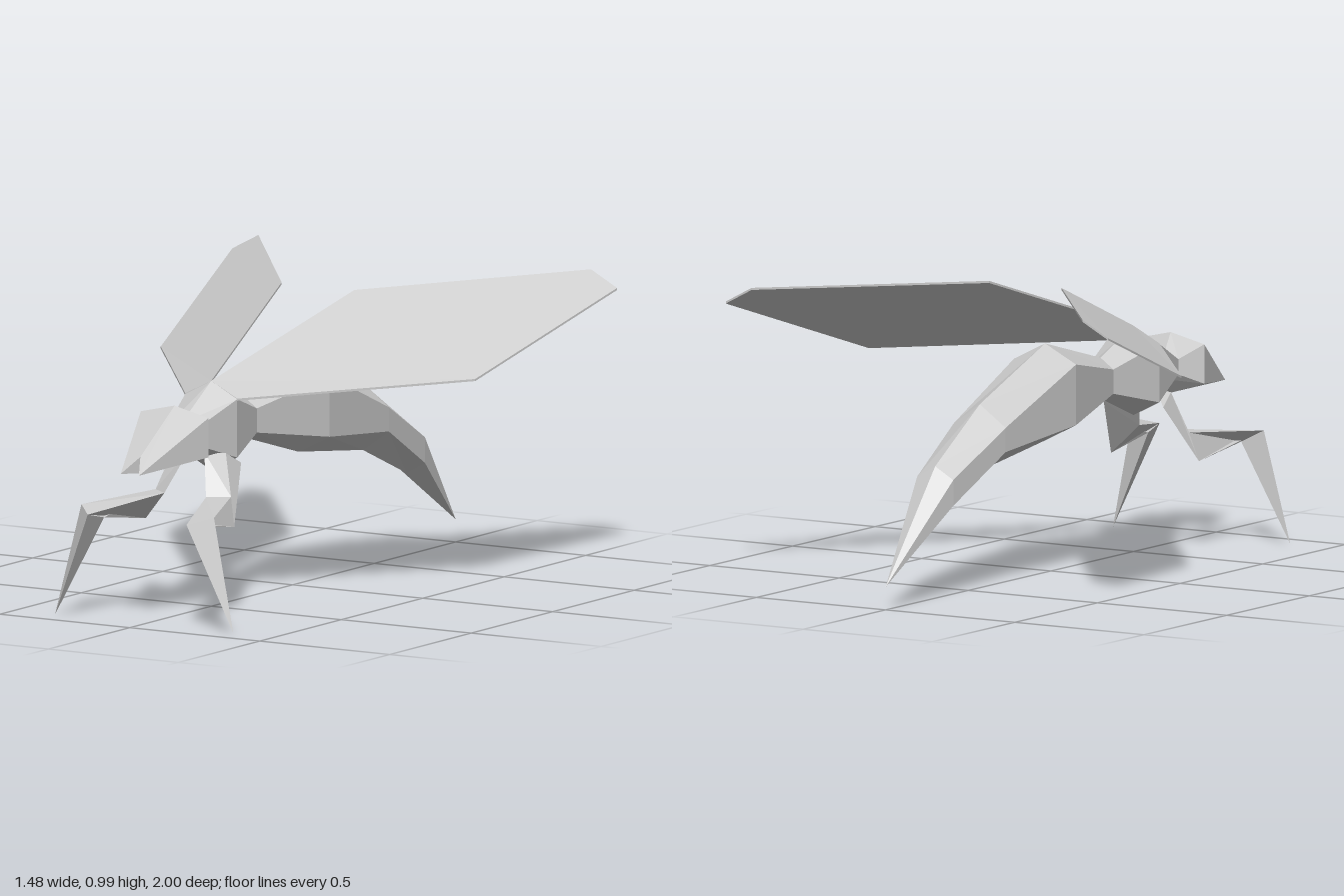
import * as THREE from 'three';

const grey = new THREE.MeshStandardMaterial({ color: 0xcccccc, flatShading: true, side: THREE.DoubleSide });
grey.name = 'plain grey';

// Skins a list of equal-length rings of [x, y, z] points and caps both ends.
function loft(name, rings) {
  const n = rings[0].length;
  const tris = [];
  for (let r = 0; r < rings.length - 1; r++) {
    for (let i = 0; i < n; i++) {
      const j = (i + 1) % n;
      const a = rings[r][i], b = rings[r][j], c = rings[r + 1][j], d = rings[r + 1][i];
      tris.push([a, b, c], [a, c, d]);
    }
  }
  const first = rings[0], last = rings[rings.length - 1];
  for (let i = 1; i < n - 1; i++) {
    tris.push([first[0], first[i + 1], first[i]], [last[0], last[i], last[i + 1]]);
  }
  // drop collapsed triangles, then turn the shell outward by its signed volume
  const solid = tris
    .map((t) => t.map((p) => new THREE.Vector3(...p)))
    .filter(([a, b, c]) => new THREE.Triangle(a, b, c).getArea() > 1e-7);
  let volume = 0;
  for (const [a, b, c] of solid) volume += a.dot(b.clone().cross(c));
  if (volume < 0) solid.forEach((t) => t.reverse());
  const geometry = new THREE.BufferGeometry().setFromPoints(solid.flat());
  geometry.computeVertexNormals();
  const mesh = new THREE.Mesh(geometry, grey);
  mesh.name = name;
  return mesh;
}

// Symmetric six-sided body section: ridge, shoulder, flank and keel.
const section = (z, top, shoulder, flank, keel, w) => [
  [0, top, z], [w, shoulder, z], [w, flank, z],
  [0, keel, z], [-w, flank, z], [-w, shoulder, z],
];

const mirror = (rings, side) => rings.map((ring) => ring.map(([x, y, z]) => [x * side, y, z]));

export function createModel() {
  const model = new THREE.Group();
  model.name = 'insect';

  const neck = section(0.685, 0.635, 0.62, 0.57, 0.55, 0.055);
  const waist = section(0.3, 0.67, 0.635, 0.555, 0.535, 0.05);

  // Head with two jaw points and a notch between them
  model.add(loft('head', [
    neck,
    section(0.725, 0.70, 0.67, 0.54, 0.50, 0.13),
    [[0, 0.56, 0.935], [0.035, 0.51, 1], [0.035, 0.51, 1],
      [0, 0.505, 0.93], [-0.035, 0.51, 1], [-0.035, 0.51, 1]],
  ]));

  model.add(loft('thorax', [neck, section(0.5, 0.75, 0.698, 0.505, 0.455, 0.1), waist]));

  // Abdomen curving down to the sting
  model.add(loft('abdomen', [
    waist,
    section(-0.035, 0.76, 0.70, 0.50, 0.44, 0.12),
    section(-0.43, 0.61, 0.54, 0.46, 0.39, 0.1),
    section(-0.7, 0.44, 0.40, 0.315, 0.275, 0.07),
    section(-1, 0.08, 0.08, 0.08, 0.08, 0),
  ]));

  // Wing: inner and outer edge points at root, middle and tip
  const wing = [
    [[0, 0.75, 0.5], [0.1, 0.7, 0.5]],
    [[0.14, 0.97, -0.155], [0.605, 0.717, -0.155]],
    [[0.64, 0.99, -0.81], [0.74, 0.937, -0.81]],
  ].map(([a, b]) => [a, b, [b[0], b[1] - 0.007, b[2]], [a[0], a[1] - 0.007, a[2]]]);

  // Foreleg: three-sided, from hip through knee and ankle to a pointed foot
  const upperLeg = [
    [[0.03, 0.53, 0.59], [0.1, 0.53, 0.57], [0.115, 0.49, 0.5]],
    [[0.08, 0.395, 0.66], [0.145, 0.395, 0.61], [0.17, 0.3, 0.63]],
  ];
  const ankle = [[0.19, 0.355, 0.955], [0.255, 0.375, 0.89], [0.18, 0.335, 0.87]];
  const foot = [0.343, 0.005, 0.912];

  for (const [side, label] of [[1, 'left'], [-1, 'right']]) {
    model.add(loft(label + 'Wing', mirror(wing, side)));
    const leg = new THREE.Group();
    leg.name = label + 'Leg';
    leg.add(
      loft('upperLeg', mirror(upperLeg, side)),
      loft('lowerLeg', mirror([upperLeg[1], ankle], side)),
      loft('foot', mirror([ankle, [foot, foot, foot]], side)),
    );
    model.add(leg);
  }
  return model;
}
